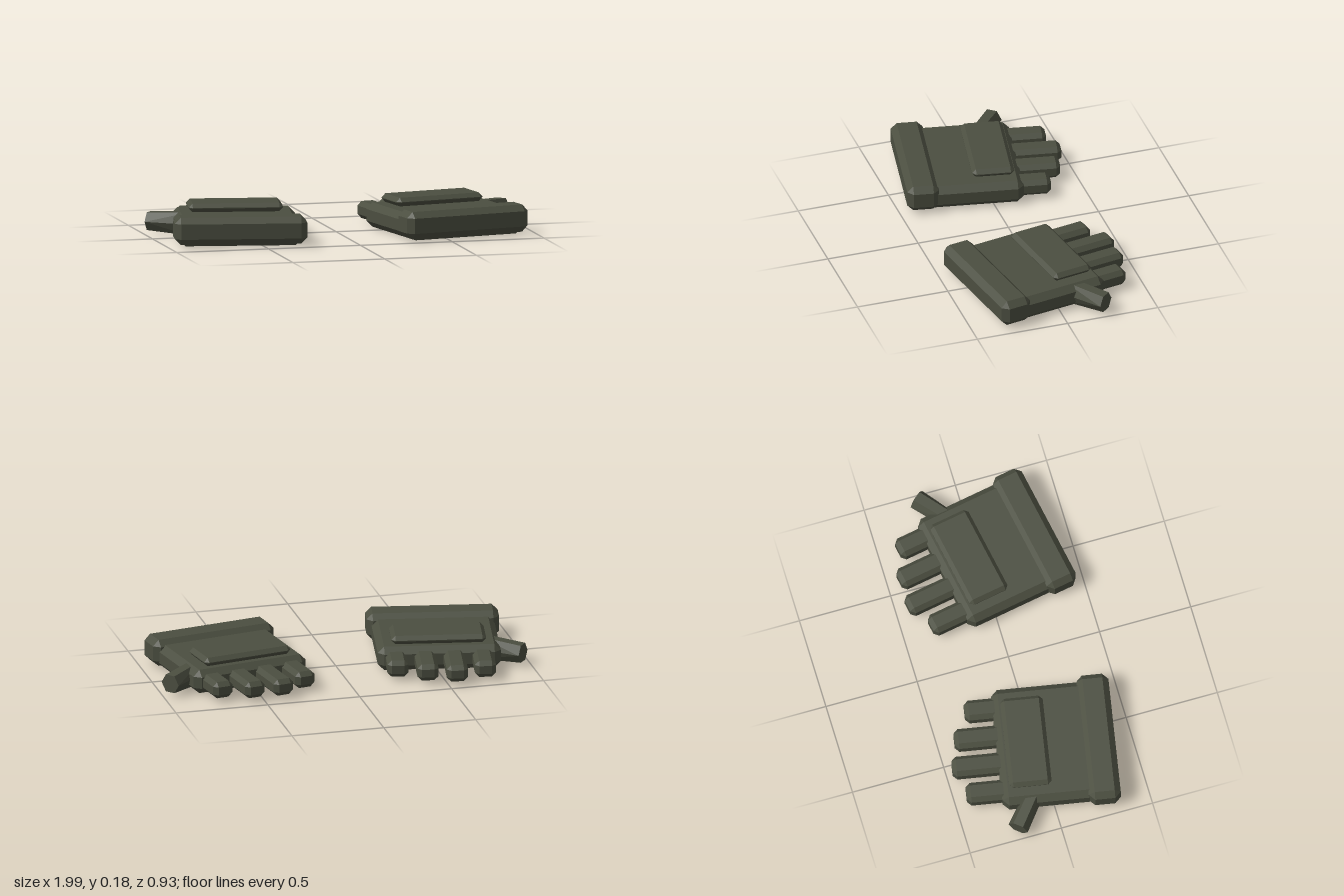
import * as THREE from 'three';
import { ConvexGeometry } from 'three/addons/geometries/ConvexGeometry.js';

const olive = new THREE.MeshStandardMaterial({ color: 0x4b4e40 });
olive.name = 'olive fabric';

function addHull(parent, name, points) {
  const mesh = new THREE.Mesh(new ConvexGeometry(points), olive);
  mesh.name = name;
  parent.add(mesh);
  return mesh;
}

// Box with every edge and corner cut flat, given by its min and max corners
function chamferBox(parent, name, min, max, c) {
  const half = min.map((v, i) => (max[i] - v) / 2);
  const points = [];
  for (const sx of [-1, 1]) for (const sy of [-1, 1]) for (const sz of [-1, 1]) {
    for (let axis = 0; axis < 3; axis++) {
      const p = [sx, sy, sz].map((s, i) => s * (half[i] - (i === axis ? 0 : c)));
      points.push(new THREE.Vector3(...p));
    }
  }
  const mesh = addHull(parent, name, points);
  mesh.position.set(...min.map((v, i) => (v + max[i]) / 2));
}

// Flat-topped hexagonal ring, facing along a horizontal direction
function hexRing(center, dir, halfWidth, halfHeight) {
  const side = new THREE.Vector3(-dir.z, 0, dir.x);
  return [[1, 0], [0.5, 1], [-0.5, 1], [-1, 0], [-0.5, -1], [0.5, -1]].map(([u, v]) => {
    const p = center.clone().addScaledVector(side, u * halfWidth);
    p.y += v * halfHeight;
    return p;
  });
}

function createGlove(s) {
  const glove = new THREE.Group();
  glove.name = s > 0 ? 'leftGlove' : 'rightGlove';

  chamferBox(glove, 'palm', [-0.325, 0, -0.117], [0.325, 0.13, 0.49], 0.034);
  chamferBox(glove, 'cuff', [-0.35, 0.01, 0.337], [0.35, 0.155, 0.507], 0.032);
  chamferBox(glove, 'knucklePad', [-0.25, 0.132, -0.075], [0.25, 0.178, 0.15], 0.021);

  // Four fingers, spaced across the front of the palm
  [0.302, 0.362, 0.335, 0.265].forEach((reach, i) => {
    const x = (i - 1.5) * 0.153;
    chamferBox(glove, 'finger' + (i + 1), [x - 0.056, 0.018, -reach], [x + 0.056, 0.108, 0], 0.023);
  });

  // Thumb, splayed outward
  const base = new THREE.Vector3(s * 0.23, 0.064, 0.073);
  const tip = new THREE.Vector3(s * 0.445, 0.064, -0.049);
  const dir = tip.clone().sub(base).normalize();
  addHull(glove, 'thumb', [...hexRing(base, dir, 0.048, 0.062), ...hexRing(tip, dir, 0.055, 0.047)]);

  glove.position.set(s * 0.531, 0, -0.097);
  glove.rotation.y = s * 0.18;
  return glove;
}

export function createModel() {
  const model = new THREE.Group();
  model.name = 'gloves';
  for (const s of [-1, 1]) model.add(createGlove(s));
  return model;
}
